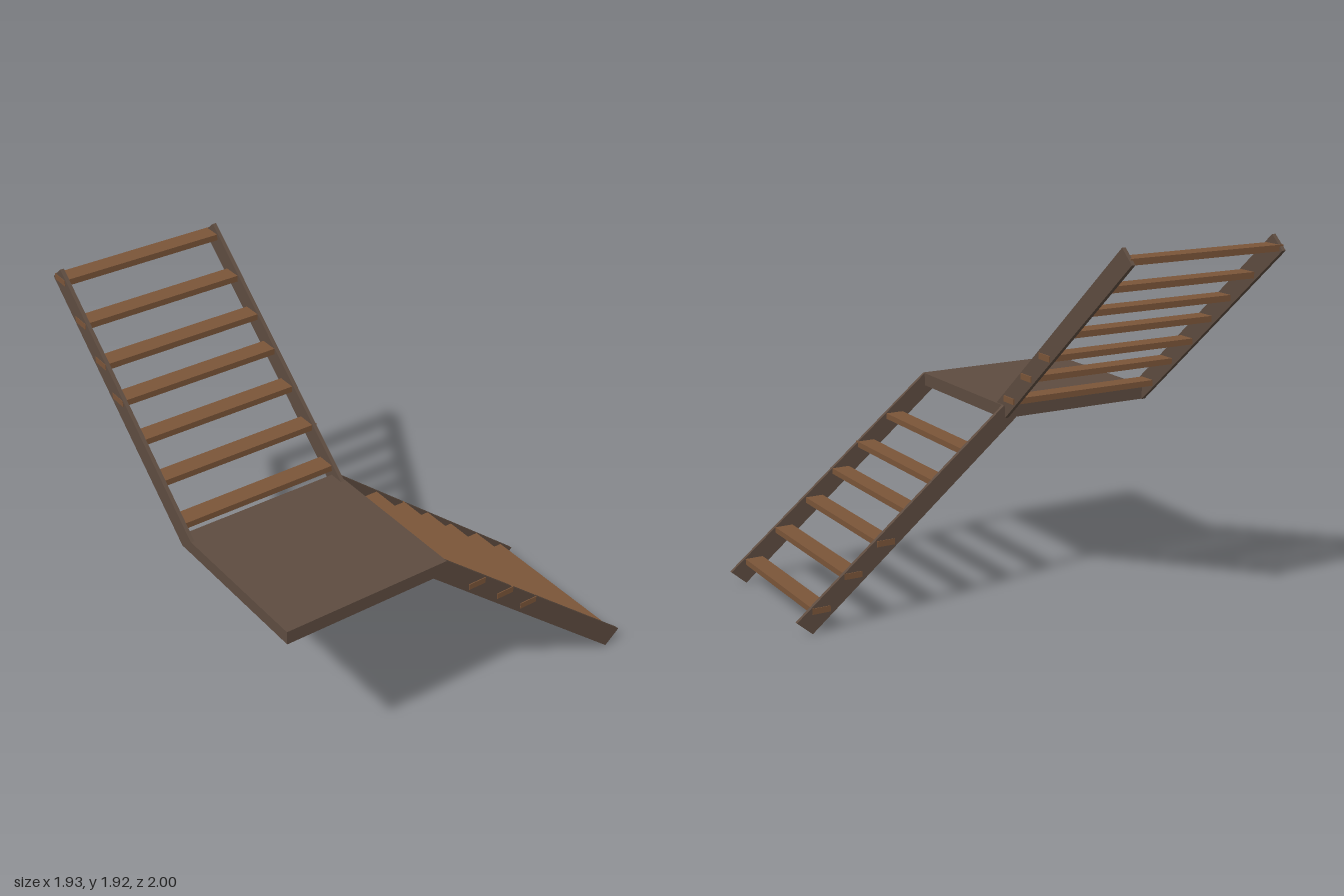
import * as THREE from 'three';

export function createModel() {
  const model = new THREE.Group();
  model.name = 'quarterTurnStaircase';

  const frameWood = new THREE.MeshStandardMaterial({ color: 0x5e4c40 });
  frameWood.name = 'darkFrameWood';
  const treadWood = new THREE.MeshStandardMaterial({ color: 0x7b5539 });
  treadWood.name = 'warmTreadWood';

  // Box given by its lower and upper limits on each axis
  function box(name, material, parent, [x0, x1], [y0, y1], [z0, z1]) {
    const mesh = new THREE.Mesh(new THREE.BoxGeometry(x1 - x0, y1 - y0, z1 - z0), material);
    mesh.position.set((x0 + x1) / 2, (y0 + y1) / 2, (z0 + z1) / 2);
    mesh.name = name;
    parent.add(mesh);
  }

  // Slanted side board: outline in the x-y plane, extruded along z
  function stringer(name, outline, thickness) {
    const shape = new THREE.Shape(outline.map(([x, y]) => new THREE.Vector2(x, y)));
    const geometry = new THREE.ExtrudeGeometry(shape, { depth: thickness, bevelEnabled: false });
    const mesh = new THREE.Mesh(geometry, frameWood);
    mesh.name = name;
    return mesh;
  }

  const half = 0.0475; // half depth of a tread
  const rise = 0.015; // half thickness of a tread

  // Landing
  box('landing', frameWood, model, [0.11, 0.962], [0.932, 0.998], [0.14, 0.992]);

  // Upper flight, climbing towards -x
  const upper = new THREE.Group();
  upper.name = 'upperFlight';
  model.add(upper);
  const upperOutline = [[0.11, 0.93], [0.187, 0.998], [-0.89, 1.917], [-0.968, 1.85]];
  [['upperBackStringer', 0.147], ['upperFrontStringer', 0.974]].forEach(([name, z]) => {
    const board = stringer(name, upperOutline, 0.019);
    board.position.z = z;
    upper.add(board);
  });
  const upperTreads = [
    [-0.9, 1.86], [-0.725, 1.71], [-0.555, 1.575], [-0.413, 1.45],
    [-0.265, 1.312], [-0.098, 1.18], [0.063, 1.035],
  ];
  upperTreads.forEach(([x, y], i) => {
    const span = i < 4 ? [0.155, 0.995] : [0.141, 0.98];
    box('upperTread' + (i + 1), treadWood, upper, [x - half, x + half], [y - rise, y + rise], span);
  });

  // Lower flight, descending towards -z
  const lower = new THREE.Group();
  lower.name = 'lowerFlight';
  model.add(lower);
  const lowerOutline = [[-0.213, 0.932], [-0.14, 0.998], [1, 0.07], [0.92, 0]];
  [['lowerLeftStringer', 0.961], ['lowerRightStringer', 0.124]].forEach(([name, x]) => {
    // Turned so the outline's first axis runs along -z
    const board = stringer(name, lowerOutline, 0.019);
    board.rotation.y = Math.PI / 2;
    board.position.x = x - 0.019;
    lower.add(board);
  });
  const lowerTreads = [
    [-0.044, 0.79], [-0.217, 0.658], [-0.367, 0.532],
    [-0.523, 0.396], [-0.7, 0.26], [-0.872, 0.115],
  ];
  lowerTreads.forEach(([z, y], i) => {
    const span = i < 3 ? [0.115, 0.965] : [0.101, 0.945];
    box('lowerTread' + (i + 1), treadWood, lower, span, [y - rise, y + rise], [z - half, z + half]);
  });

  return model;
}
